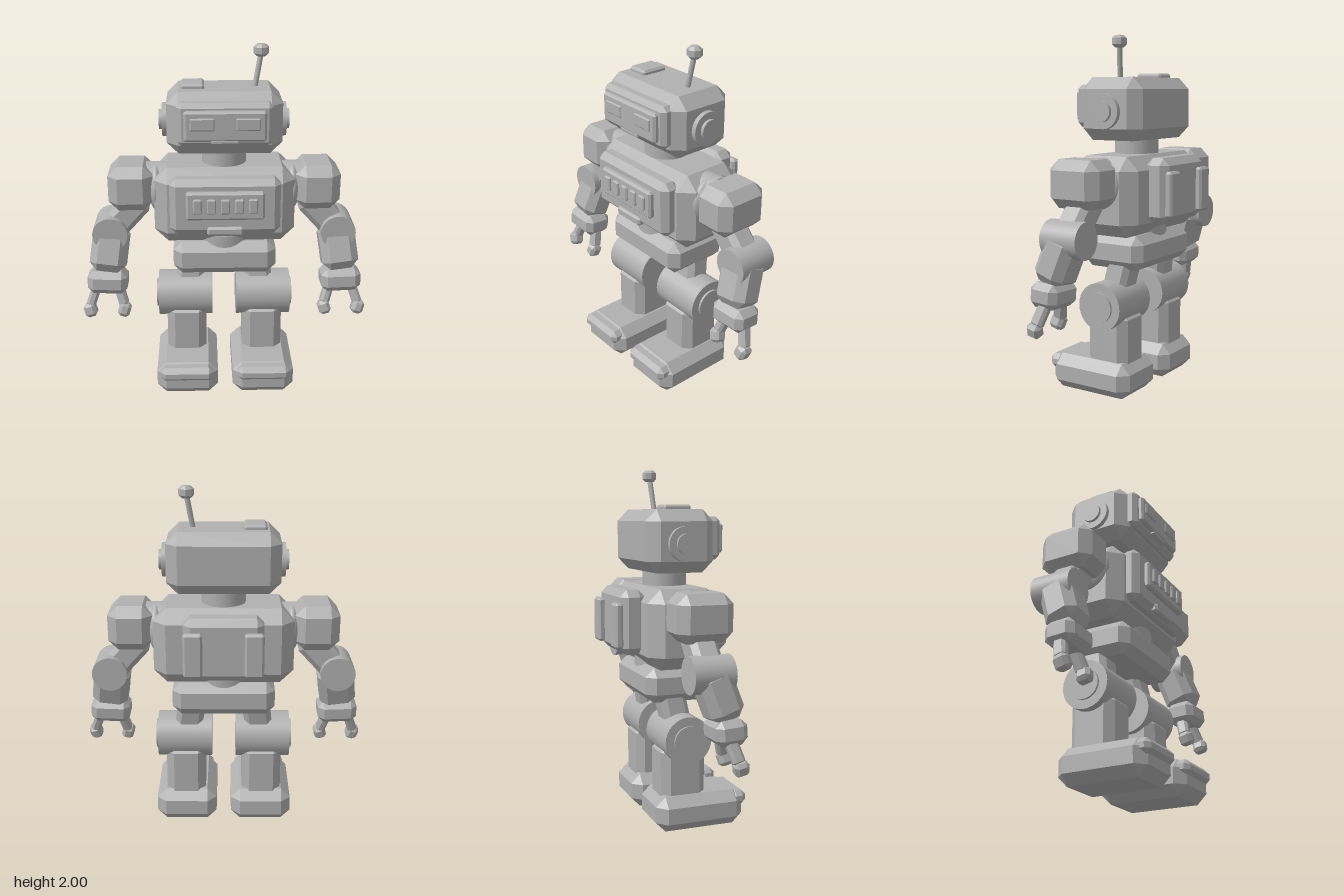
import * as THREE from 'three';
import { ConvexGeometry } from 'three/addons/geometries/ConvexGeometry.js';

const metal = new THREE.MeshStandardMaterial({ color: 0xb0b0b0 });
metal.name = 'greyMetal';
const V = (x, y, z) => new THREE.Vector3(x, y, z);

// Box with every edge and corner cut at 45 degrees
function chamferBox(w, h, d, c) {
  const pts = [];
  for (const x of [-1, 1]) for (const y of [-1, 1]) for (const z of [-1, 1]) {
    const X = w / 2, Y = h / 2, Z = d / 2;
    pts.push(V(x * X, y * (Y - c), z * (Z - c)));
    pts.push(V(x * (X - c), y * Y, z * (Z - c)));
    pts.push(V(x * (X - c), y * (Y - c), z * Z));
  }
  return new ConvexGeometry(pts);
}

export function createModel() {
  const robot = new THREE.Group();
  robot.name = 'robot';

  const add = (name, geometry, parent = robot) => {
    const m = new THREE.Mesh(geometry, metal);
    m.name = name;
    parent.add(m);
    return m;
  };
  // Chamfered box given by its extents on each axis
  const block = (name, [x0, x1], [y0, y1], [z0, z1], c, parent) => {
    const m = add(name, chamferBox(x1 - x0, y1 - y0, z1 - z0, c), parent);
    m.position.set((x0 + x1) / 2, (y0 + y1) / 2, (z0 + z1) / 2);
    return m;
  };
  const aim = (m, a, b) => {
    m.position.copy(a).add(b).multiplyScalar(0.5);
    m.quaternion.setFromUnitVectors(V(0, 1, 0), b.clone().sub(a).normalize());
    return m;
  };
  // Chamfered limb or round rod running between two points
  const limb = (name, a, b, w, d, c, parent) =>
    aim(add(name, chamferBox(w, a.distanceTo(b), d, c), parent), a, b);
  const rod = (name, a, b, r, parent, sides = 32) =>
    aim(add(name, new THREE.CylinderGeometry(r, r, a.distanceTo(b), sides), parent), a, b);

  // Torso
  block('chest', [-0.395, 0.395], [0.91, 1.35], [-0.215, 0.2], 0.075);
  block('chestPanel', [-0.305, 0.305], [1.0, 1.32], [0.15, 0.27], 0.035);
  block('buttonFrame', [-0.215, 0.215], [1.1, 1.26], [0.25, 0.3], 0.012);
  for (let i = -2; i <= 2; i++) {
    const x = i * 0.076;
    block('chestButton', [x - 0.025, x + 0.025], [1.14, 1.225], [0.29, 0.312], 0.007);
  }
  block('chestHandle', [-0.1, 0.1], [1.0, 1.052], [0.24, 0.285], 0.012);
  rod('waist', V(0, 0.86, 0), V(0, 0.95, 0), 0.175);
  block('pelvis', [-0.293, 0.293], [0.715, 0.91], [-0.2, 0.195], 0.05);

  // Backpack
  block('backpack', [-0.22, 0.22], [0.98, 1.34], [-0.325, -0.18], 0.04);
  for (const s of [-1, 1]) {
    const x = s * 0.167;
    block('backpackStrip', [x - 0.053, x + 0.053], [1.02, 1.27], [-0.36, -0.315], 0.012);
  }

  // Head
  rod('neck', V(0, 1.32, 0), V(0, 1.46, 0), 0.125);
  block('head', [-0.315, 0.315], [1.43, 1.775], [-0.2, 0.195], 0.065);
  block('facePanel', [-0.258, 0.258], [1.5, 1.735], [0.15, 0.24], 0.025);
  block('visor', [-0.22, 0.22], [1.535, 1.7], [0.22, 0.268], 0.012);
  block('mouth', [-0.075, 0.075], [1.522, 1.545], [0.22, 0.265], 0.005);
  block('hatch', [-0.237, -0.108], [1.76, 1.8], [-0.09, 0.07], 0.012);
  for (const s of [-1, 1]) {
    const x = s * 0.122;
    block('eye', [x - 0.065, x + 0.065], [1.597, 1.665], [0.255, 0.276], 0.006);
    rod('earDisc', V(s * 0.29, 1.59, 0), V(s * 0.342, 1.59, 0), 0.095);
    rod('earCap', V(s * 0.33, 1.59, 0), V(s * 0.36, 1.59, 0), 0.056);
  }

  // Antenna
  rod('antennaRod', V(0.168, 1.76, 0), V(0.203, 1.96, -0.018), 0.015, robot, 12);
  const tipProfile = [[0, -0.033], [0.025, -0.033], [0.042, -0.017], [0.042, 0.017], [0.025, 0.033], [0, 0.033]]
    .map(([r, y]) => new THREE.Vector2(r, y));
  const knob = new THREE.LatheGeometry(tipProfile, 8).toNonIndexed();
  knob.computeVertexNormals();
  add('antennaTip', knob).position.set(0.203, 1.967, -0.018);

  for (const s of [-1, 1]) {
    const P = (x, y, z) => V(s * x, y, z);
    const span = (a, b) => (s > 0 ? [a, b] : [-b, -a]);

    // Leg
    const leg = new THREE.Group();
    leg.name = s > 0 ? 'leftLeg' : 'rightLeg';
    robot.add(leg);
    limb('thigh', P(0.222, 0.5, 0.005), P(0.18, 0.78, -0.045), 0.16, 0.15, 0.03, leg);
    rod('knee', P(0.07, 0.518, 0), P(0.387, 0.518, 0), 0.135, leg);
    rod('kneeCap', P(0.37, 0.518, 0), P(0.4, 0.518, 0), 0.085, leg);
    block('shin', span(0.108, 0.34), [0.14, 0.485], [-0.13, 0.13], 0.045, leg);
    block('foot', span(0.043, 0.4), [0, 0.2], [-0.175, 0.343], 0.055, leg);
    block('toeCap', span(0.07, 0.378), [0.105, 0.192], [0.27, 0.365], 0.028, leg);

    // Arm
    const arm = new THREE.Group();
    arm.name = s > 0 ? 'leftArm' : 'rightArm';
    robot.add(arm);
    rod('shoulderAxle', P(0.3, 1.25, 0), P(0.44, 1.25, 0), 0.092, arm);
    const collar = add('shoulderCollar', new THREE.SphereGeometry(0.14, 32, 16), arm);
    collar.position.copy(P(0.385, 1.2, 0));
    collar.scale.x = 0.35;
    block('shoulder', span(0.4, 0.652), [1.09, 1.348], [-0.155, 0.16], 0.055, arm);
    limb('upperArm', P(0.47, 1.14, 0), P(0.66, 0.93, 0), 0.16, 0.155, 0.03, arm);
    rod('elbow', P(0.655, 0.94, -0.112), P(0.655, 0.94, 0.115), 0.1, arm);
    limb('forearm', P(0.682, 0.705, 0.088), P(0.646, 0.96, 0), 0.21, 0.19, 0.045, arm);
    limb('hand', P(0.683, 0.58, 0.088), P(0.678, 0.715, 0.08), 0.23, 0.175, 0.035, arm);
    limb('outerFinger', P(0.79, 0.49, 0.115), P(0.74, 0.63, 0.075), 0.055, 0.07, 0.015, arm);
    limb('innerFinger', P(0.588, 0.49, 0.115), P(0.63, 0.63, 0.075), 0.055, 0.07, 0.015, arm);
    limb('outerFingertip', P(0.776, 0.433, 0.133), P(0.801, 0.508, 0.115), 0.07, 0.08, 0.018, arm);
    limb('innerFingertip', P(0.602, 0.433, 0.133), P(0.577, 0.508, 0.115), 0.07, 0.08, 0.018, arm);
  }
  return robot;
}
